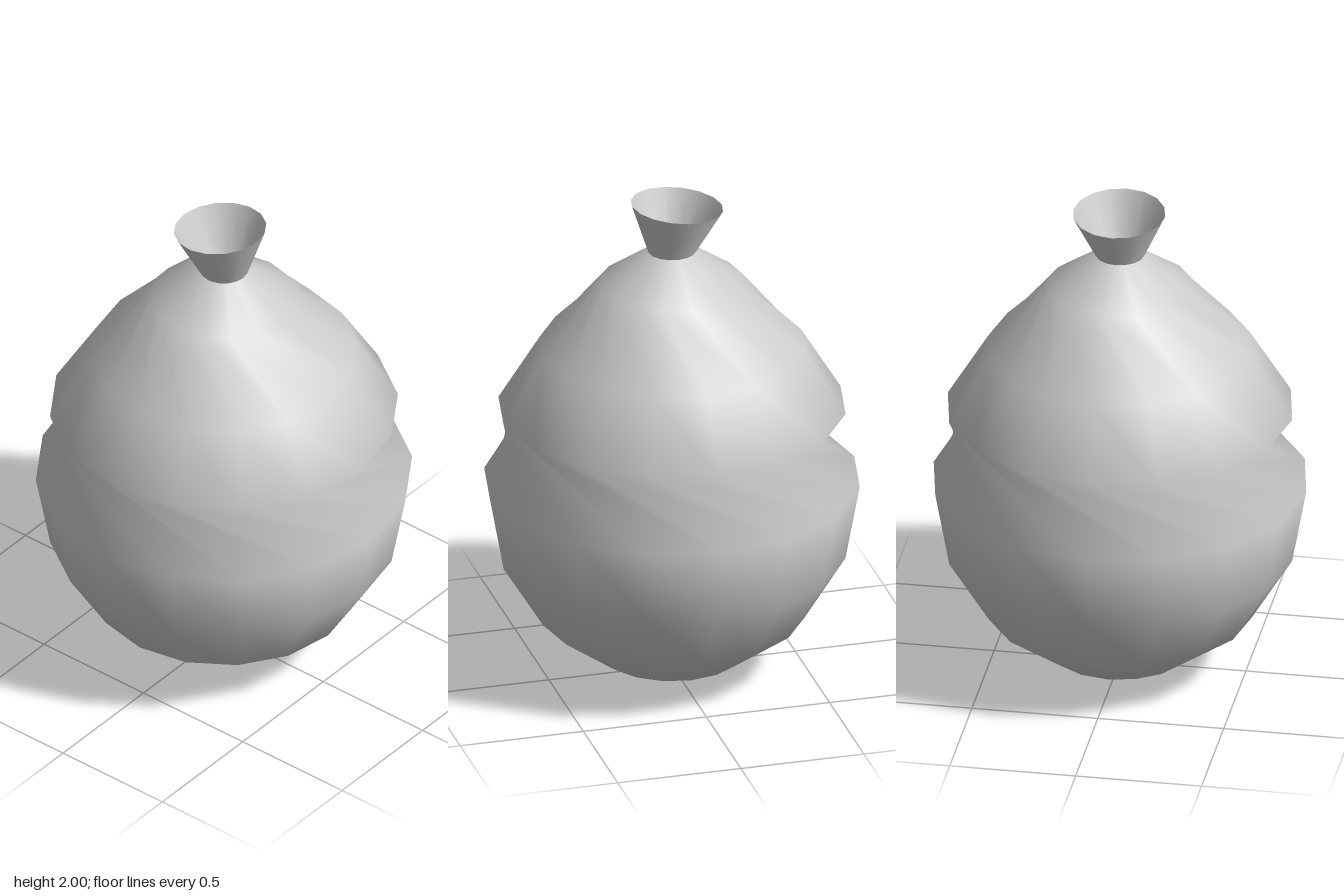
import * as THREE from 'three';

const SIDES = 16;

// Stacked rings [radius, height, twist in steps]; twisted bands fold the cloth.
function twistedRings(rings) {
  const pos = [], index = [], starts = [];
  for (const [r, y, twist] of rings) {
    starts.push(pos.length / 3);
    for (let i = 0; i < (r ? SIDES : 1); i++) {
      const a = ((i + twist) / SIDES) * Math.PI * 2;
      pos.push(r * Math.cos(a), y, r * Math.sin(a));
    }
  }
  const at = (k, i) => starts[k] + (rings[k][0] ? i % SIDES : 0);
  for (let k = 0; k < rings.length - 1; k++) {
    for (let i = 0; i < SIDES; i++) {
      const a = at(k, i), b = at(k, i + 1), c = at(k + 1, i), d = at(k + 1, i + 1);
      if (a !== b) index.push(a, d, b);
      if (c !== d) index.push(a, c, d);
    }
  }
  const geo = new THREE.BufferGeometry();
  geo.setAttribute('position', new THREE.Float32BufferAttribute(pos, 3));
  geo.setIndex(index);
  geo.computeVertexNormals();
  return geo;
}

export function createModel() {
  const group = new THREE.Group();
  group.name = 'tiedSack';
  const material = new THREE.MeshStandardMaterial({ color: 0xcccccc, side: THREE.DoubleSide });

  // Round sack, wrung at the waist and below the neck
  const rings = [];
  for (let k = 0; k <= 4; k++) {
    const t = (k / 8) * Math.PI;
    rings.push([0.74 * Math.sin(t), 0.815 - 0.81 * Math.cos(t), 0]);
  }
  rings.push(
    [0.684, 1.125, 2],
    [0.523, 1.39, 2],
    [0.284, 1.66, 3],
    [0.093, 1.795, 3],
    [0, 1.805, 3],
  );
  const sack = new THREE.Mesh(twistedRings(rings), material);
  sack.name = 'sack';
  group.add(sack);

  // Open flared neck with a slanted rim
  const bottom = 1.793, height = 0.19;
  const neckGeo = new THREE.CylinderGeometry(0.182, 0.095, height, SIDES, 1, true);
  neckGeo.translate(0, bottom + height / 2, 0);
  const p = neckGeo.attributes.position;
  for (let i = 0; i < p.count; i++) {
    if (p.getY(i) < bottom + height / 2) continue;
    p.setY(i, p.getY(i) + p.getX(i) * 0.095);
    p.setX(i, p.getX(i) - 0.02);
  }
  const neck = new THREE.Mesh(neckGeo, material);
  neck.name = 'neck';
  group.add(neck);

  return group;
}
